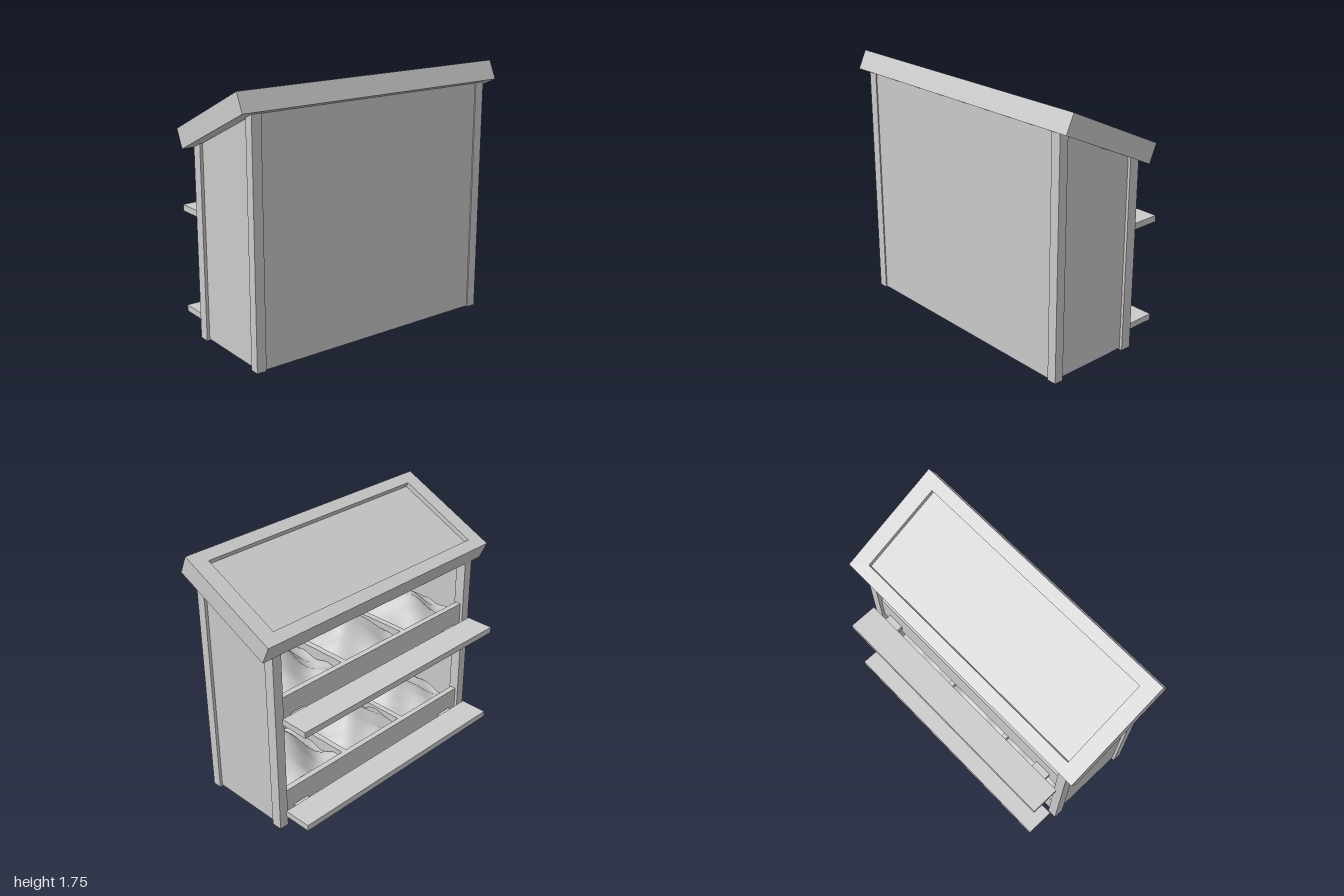
import * as THREE from 'three';

const material = new THREE.MeshStandardMaterial({ color: 0xcccccc });
const pileMaterial = new THREE.MeshStandardMaterial({ color: 0xcccccc, side: THREE.DoubleSide });

// Height of the roof's underside at depth z
const roofLine = (z) => 1.29 + (z + 0.245) * 0.4653;

function add(parent, name, geometry, mat = material) {
  const mesh = new THREE.Mesh(geometry, mat);
  mesh.name = name;
  parent.add(mesh);
  return mesh;
}

// Box given by its extents on each axis
function box(parent, name, x0, x1, y0, y1, z0, z1) {
  const geometry = new THREE.BoxGeometry(x1 - x0, y1 - y0, z1 - z0);
  geometry.translate((x0 + x1) / 2, (y0 + y1) / 2, (z0 + z1) / 2);
  return add(parent, name, geometry);
}

// Upright board whose top follows the roof slope
function slopedBoard(parent, name, x0, x1, y0, z0, z1) {
  const shape = new THREE.Shape([
    new THREE.Vector2(z0, y0),
    new THREE.Vector2(z1, y0),
    new THREE.Vector2(z1, roofLine(z1)),
    new THREE.Vector2(z0, roofLine(z0)),
  ]);
  const geometry = new THREE.ExtrudeGeometry(shape, { depth: x1 - x0, bevelEnabled: false });
  geometry.rotateY(-Math.PI / 2);
  geometry.translate(x1, 0, 0);
  return add(parent, name, geometry);
}

// Lumpy heap filling one bin
function pile(parent, x, floor, peak, seed) {
  const width = 0.53, depth = 0.58;
  const geometry = new THREE.PlaneGeometry(width, depth, 20, 20);
  geometry.rotateX(-Math.PI / 2);
  const p = geometry.attributes.position;
  const px = 0.05 * Math.sin(seed * 2.1), pz = 0.05 * Math.cos(seed * 1.7);
  for (let i = 0; i < p.count; i++) {
    const u = p.getX(i), v = p.getZ(i);
    const dome = Math.exp(-(((u - px) / 0.16) ** 2) - ((v - pz) / 0.18) ** 2);
    const lumps = 0.022 * Math.sin(u * 19 + seed * 3) * Math.cos(v * 16 + seed)
      + 0.01 * Math.sin(u * 37 - v * 29 + seed * 5);
    p.setY(i, 0.13 + (peak - 0.13) * dome + lumps);
  }
  geometry.translate(x, floor, 0.115);
  geometry.computeVertexNormals();
  add(parent, 'goodsPile', geometry, pileMaterial);
}

// One display level: floor, bins, heaps and the outer ledge
function createLevel(y, name, peaks, dividerDrop) {
  const level = new THREE.Group();
  level.name = name;
  box(level, 'shelfFloor', -0.87, 0.87, 0.03, 0.06, -0.2, 0.41);
  box(level, 'binBoard', -0.85, 0.85, 0.02, 0.255, -0.22, -0.18);
  for (const x of [-0.28, 0.28]) {
    box(level, 'binDivider', x - 0.02, x + 0.02, 0.04 - dividerDrop, 0.255, -0.18, 0.41);
  }
  box(level, 'ledge', -0.89, 0.89, 0.105, 0.148, -0.47, -0.27);
  for (const side of [-1, 1]) {
    box(level, 'ledgeBracket', side * 0.72 - 0.06, side * 0.72 + 0.06, 0.065, 0.113, -0.42, -0.22);
  }
  peaks.forEach((peak, i) => pile(level, 0.565 * (1 - i), 0.06, peak, i + y * 4 + 1));
  level.position.y = y;
  return level;
}

function createRoof() {
  const roof = new THREE.Group();
  roof.name = 'roof';
  const w = 1, d = 0.397, thickness = 0.134, hx = 0.89, hz = 0.31;
  const rectangle = (a, b) => [[-a, -b], [a, -b], [a, b], [-a, b]].map(([x, y]) => new THREE.Vector2(x, y));
  const shape = new THREE.Shape(rectangle(w, d));
  shape.holes.push(new THREE.Path(rectangle(hx, hz).reverse()));
  const frame = new THREE.ExtrudeGeometry(shape, { depth: thickness, bevelEnabled: false });
  frame.rotateX(-Math.PI / 2);
  frame.translate(0, -thickness / 2, 0);
  add(roof, 'roofFrame', frame);
  box(roof, 'roofPanel', -hx, hx, -0.03, 0.032, -hz, hz);
  roof.position.set(0, 1.5175, 0.085);
  roof.rotation.x = -Math.atan2(0.335, 0.72);
  return roof;
}

export function createModel() {
  const model = new THREE.Group();
  model.name = 'marketStand';

  // Corner posts and side walls
  for (const side of [-1, 1]) {
    const span = (a, b) => (side > 0 ? [a, b] : [-b, -a]);
    slopedBoard(model, 'frontPost', ...span(0.853, 0.92), 0, 0.375, 0.44);
    slopedBoard(model, 'backPost', ...span(0.853, 0.92), 0, -0.24, -0.165);
    slopedBoard(model, 'sideWall', ...span(0.87, 0.9), 0.01, -0.165, 0.375);
  }
  slopedBoard(model, 'frontWall', -0.853, 0.853, 0.005, 0.41, 0.432);

  // Two display levels open to the back
  model.add(createLevel(0, 'lowerLevel', [0.39, 0.29, 0.28], 0.03));
  model.add(createLevel(0.71, 'upperLevel', [0.36, 0.32, 0.29], 0));

  model.add(createRoof());
  return model;
}
